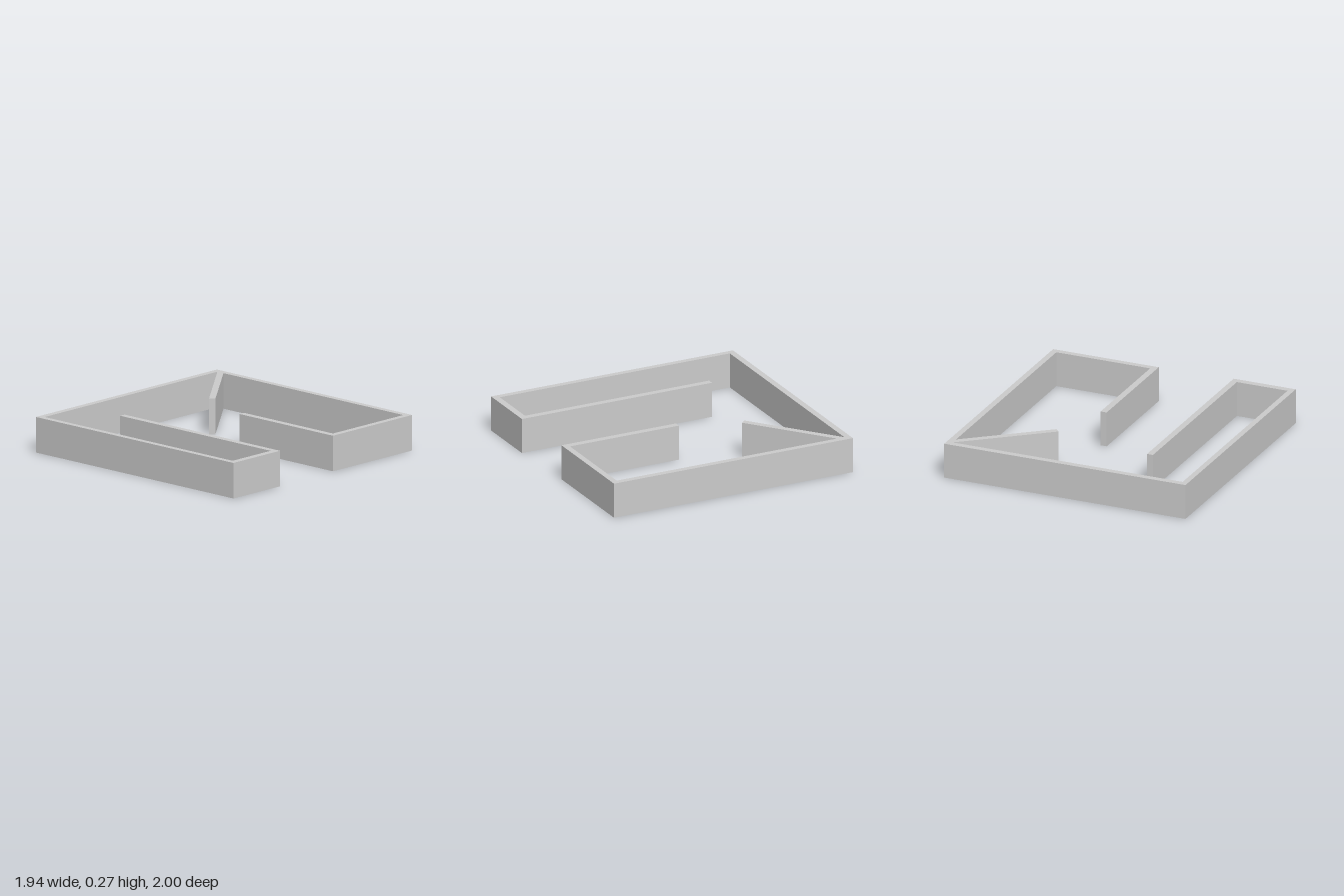
import * as THREE from 'three';

const HEIGHT = 0.27;

// Upright wall from a floor-plan outline given as [x, z] corners
function wallFromPlan(name, plan, material) {
  const shape = new THREE.Shape(plan.map(([x, z]) => new THREE.Vector2(x, -z)));
  const geometry = new THREE.ExtrudeGeometry(shape, { depth: HEIGHT, bevelEnabled: false });
  geometry.rotateX(-Math.PI / 2);
  const mesh = new THREE.Mesh(geometry, material);
  mesh.name = name;
  return mesh;
}

export function createModel() {
  const group = new THREE.Group();
  group.name = 'wallMaze';
  const material = new THREE.MeshStandardMaterial({ color: 0xcccccc, flatShading: true });

  // One continuous wall, so no faces are hidden inside the corners
  const plan = [
    // outer side: back, left side, front return and inward stub
    [-0.972, -1], [0.972, -1], [0.972, 0.976], [0.121, 0.976], [0.121, 0.03],
    [0.17, 0.03], [0.17, 0.93], [0.926, 0.93],
    // diagonal wall from the back corner
    [0.926, -0.89], [0.33, -0.41], [0.298, -0.445], [0.926, -0.952],
    // inner side: back, right side, front return and long inward stub
    [-0.928, -0.952], [-0.928, 0.95], [-0.52, 0.95], [-0.52, -0.572],
    [-0.472, -0.572], [-0.472, 1], [-0.972, 1],
  ];
  group.add(wallFromPlan('walls', plan, material));
  return group;
}
